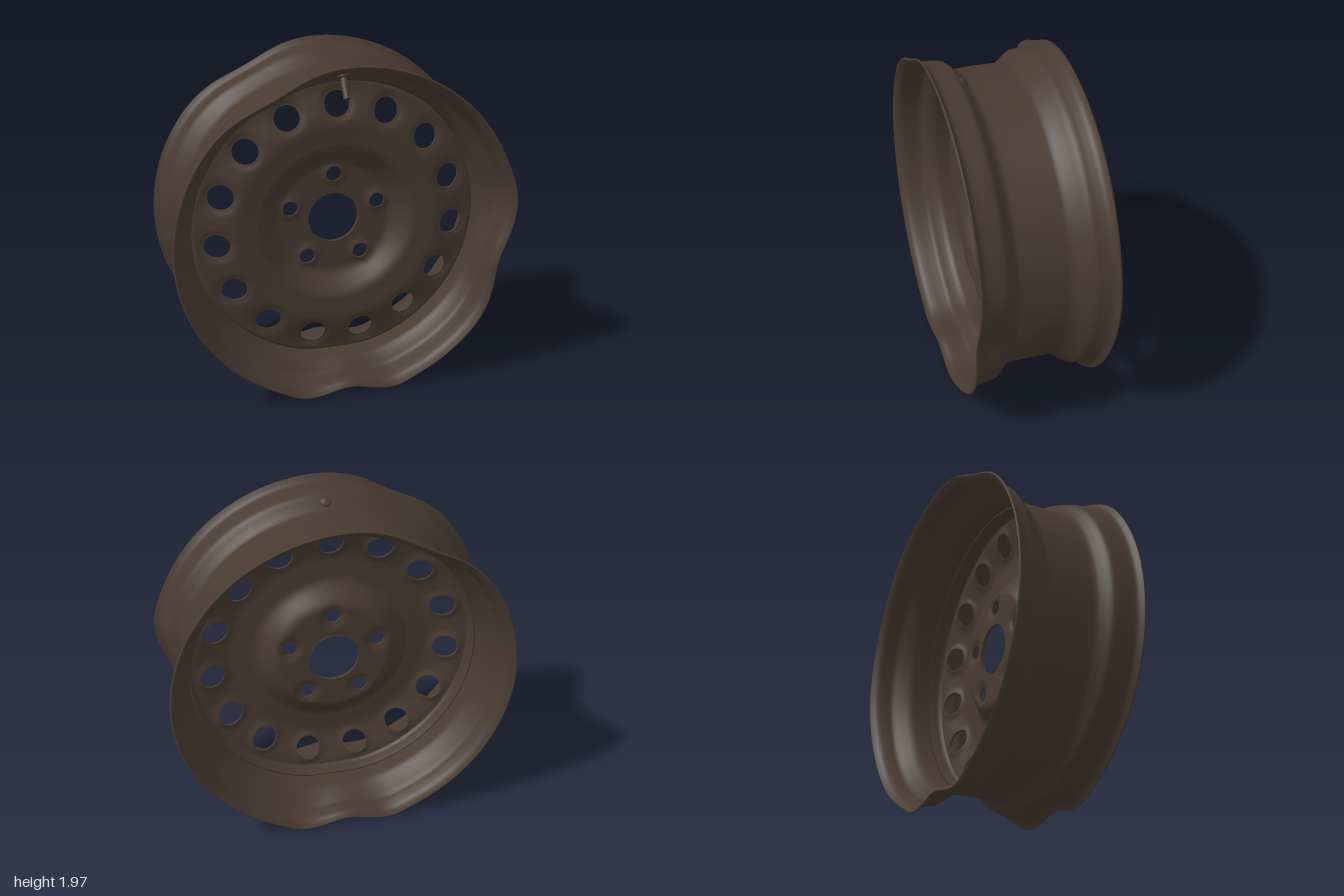
import * as THREE from 'three';
import { mergeGeometries, mergeVertices } from 'three/addons/utils/BufferGeometryUtils.js';

const TAU = Math.PI * 2;
const AXLE_Y = 0.965;
const SHEET = 0.014;
const VENT = { count: 15, ring: 0.71, radius: 0.073, reach: 0.12, steps: 32, bend: -0.012 };
const LUG = { count: 5, ring: 0.275, radius: 0.045, reach: 0.1, steps: 96, bend: 0.014 };

const smooth = THREE.MathUtils.smoothstep;
const bell = (a, centre, width) => {
  const d = Math.atan2(Math.sin(a - centre), Math.cos(a - centre)) / width;
  return Math.exp(-d * d);
};

// Impact damage: pushes the lips in at the bottom, the upper left and the front right
function dent(geometry) {
  const p = geometry.attributes.position;
  for (let i = 0; i < p.count; i++) {
    const x = p.getX(i), y = p.getY(i), z = p.getZ(i);
    const r = Math.hypot(x, y);
    if (r < 0.72) continue;
    const a = Math.atan2(y, x);
    const lip = Math.min(1, (z / 0.37) ** 2);
    const front = smooth(z, 0, 0.37);
    const down = -Math.PI / 2;
    let push = -0.068 * bell(a, down, 0.17) * (0.25 + 0.75 * lip);
    push += 0.012 * (bell(a, down - 0.29, 0.1) + bell(a, down + 0.29, 0.1)) * lip;
    push -= 0.045 * bell(a, 2.04, 0.24) * (0.1 + 0.9 * lip);
    push += (-0.07 * bell(a, -0.25, 0.24) + 0.012 * bell(a, 0.18, 0.15)) * front;
    const s = 1 + (push * smooth(r, 0.72, 0.88)) / r;
    p.setXYZ(i, x * s, y * s, z + Math.sign(z) * 0.01 * lip * bell(a, -0.05, 0.3));
  }
}

// Merges seams, applies the damage and recomputes smooth normals
function finish(geometry) {
  geometry.deleteAttribute('uv');
  geometry.deleteAttribute('normal');
  const g = mergeVertices(geometry, 1e-5);
  dent(g);
  g.computeVertexNormals();
  return g;
}

const spin = (points, segments) => new THREE.LatheGeometry(points, segments).rotateX(Math.PI / 2);

// Barrel: a thin closed section with flared lips, bead seats and a drop well
function barrelGeometry() {
  const outer = new THREE.SplineCurve([
    [1.0, -0.372], [0.968, -0.345], [0.953, -0.3], [0.943, -0.255], [0.905, -0.205],
    [0.874, -0.155], [0.868, -0.1], [0.868, 0.1], [0.874, 0.145], [0.9, 0.178],
    [0.938, 0.215], [0.95, 0.26], [0.957, 0.31], [0.968, 0.345], [1.0, 0.372],
  ].map(([r, z]) => new THREE.Vector2(r, z))).getPoints(70);
  const inner = outer.map((q, i) => {
    const t = outer[Math.min(i + 1, 70)].clone().sub(outer[Math.max(i - 1, 0)]).normalize();
    return new THREE.Vector2(q.x - t.y * SHEET * 0.8, q.y + t.x * SHEET * 0.8);
  });
  return finish(spin([...outer, ...inner.reverse(), outer[0].clone()], 180));
}

// Height of the pressed disc: a bowl around the hub, then a shallow crown
const STEPS = [[0.14, 0], [0.32, 0], [0.48, 0.105], [0.6, 0.112], [0.84, 0.05]];
function discHeight(x, y) {
  const r = Math.hypot(x, y);
  let z = 0;
  for (let i = 1; i < STEPS.length; i++) {
    z += (STEPS[i][1] - STEPS[i - 1][1]) * smooth(r, STEPS[i - 1][0], STEPS[i][0]);
  }
  for (const h of [VENT, LUG]) {
    const slice = TAU / h.count;
    const off = Math.atan2(y, x) - Math.PI / 2;
    const a = off - Math.round(off / slice) * slice;
    const d = Math.hypot(r * Math.cos(a) - h.ring, r * Math.sin(a)) - h.radius;
    z += h.bend * Math.exp(-((Math.max(d, 0) / 0.025) ** 2));
  }
  return z;
}

// Indexed grid of points
function grid(nu, nv, point) {
  const pos = [], index = [];
  for (let i = 0; i <= nu; i++) {
    for (let j = 0; j <= nv; j++) {
      pos.push(...point(i / nu, j / nv));
      if (i === nu || j === nv) continue;
      const a = i * (nv + 1) + j, b = a + nv + 1;
      index.push(a, b, b + 1, a, b + 1, a + 1);
    }
  }
  const g = new THREE.BufferGeometry();
  g.setAttribute('position', new THREE.Float32BufferAttribute(pos, 3));
  g.setIndex(index);
  return g;
}

const polar = (r, a, drop = 0) => {
  const x = r * Math.cos(a), y = r * Math.sin(a);
  return [x, y, discHeight(x, y) - drop];
};

// Plain ring of the disc
const ring = (r0, r1, rows, drop) =>
  grid(rows, 120, (u, v) => polar(r0 + (r1 - r0) * u, Math.PI / 2 + TAU * v, drop));

// Point on the edge of a hole, in polar coordinates about the axle
function holeEdge(h, f) {
  const x = h.ring + h.radius * Math.cos(f), y = h.radius * Math.sin(f);
  return [Math.hypot(x, y), Math.atan2(y, x)];
}

// Ring sector that closes in on a round hole
function holeSector(h, k, drop) {
  const mid = Math.PI / 2 + (k * TAU) / h.count;
  return grid(9, h.steps, (u, v) => {
    const f = v * TAU;
    const side = Math.round(v * 4 - 1e-9) % 4;
    const t = (v * 4 - Math.round(v * 4 - 1e-9)) * 2;
    const [sx, sy] = [[1, t], [-t, 1], [-1, -t], [t, -1]][side];
    const [r, a] = holeEdge(h, f);
    const w = u * u * 0.5 + u * 0.5;
    return polar(
      r + (h.ring + sx * h.reach - r) * w,
      mid + a + ((sy * Math.PI) / h.count - a) * w, drop);
  });
}

// Cut edge of a hole through the sheet
function holeWall(h, k) {
  const mid = Math.PI / 2 + (k * TAU) / h.count;
  return grid(1, 32, (u, v) => {
    const [r, a] = holeEdge(h, v * TAU);
    return polar(r, mid + a, u * SHEET);
  });
}

function discGeometries() {
  const faces = [0, SHEET].map((drop) => {
    const parts = [
      ring(0.15, 0.175, 3, drop),
      ring(LUG.ring + LUG.reach, VENT.ring - VENT.reach, 16, drop),
    ];
    for (const h of [LUG, VENT]) {
      for (let k = 0; k < h.count; k++) parts.push(holeSector(h, k, drop));
    }
    return finish(mergeGeometries(parts));
  });
  const walls = [grid(1, 120, (u, v) => polar(0.15, v * TAU, u * SHEET * 1.5))];
  for (const h of [LUG, VENT]) {
    for (let k = 0; k < h.count; k++) walls.push(holeWall(h, k));
  }
  return [...faces, finish(mergeGeometries(walls))];
}

export function createModel() {
  const steel = new THREE.MeshStandardMaterial({ color: 0x483a31, side: THREE.DoubleSide });
  steel.name = 'dark brown steel';
  const model = new THREE.Group();
  model.name = 'dentedWheel';
  const wheel = new THREE.Group();
  wheel.name = 'wheel';
  wheel.position.y = AXLE_Y;
  model.add(wheel);
  const add = (name, geometry, parent = wheel) => {
    const mesh = new THREE.Mesh(geometry, steel);
    mesh.name = name;
    parent.add(mesh);
    return mesh;
  };

  add('barrel', barrelGeometry());

  // Centre disc with hub, lug and vent holes
  const names = ['discFront', 'discBack', 'holeEdges'];
  discGeometries().forEach((g, i) => add(names[i], g));

  // Flange that joins the disc to the drop well
  const flange = [[0.828, 0.05], [0.842, 0.046], [0.851, 0.034], [0.855, 0.015], [0.856, -0.045],
    [0.846, -0.045], [0.845, 0.01], [0.838, 0.03], [0.828, 0.036]];
  add('discFlange', finish(spin(flange.map(([r, z]) => new THREE.Vector2(r, z)), 120)));

  // Valve through the front slope of the drop well, leaning to the front inside
  const valve = new THREE.Group();
  valve.name = 'valve';
  valve.position.set(0, 0.905, 0.19);
  valve.rotation.x = -0.62;
  wheel.add(valve);
  add('valveStem', new THREE.CylinderGeometry(0.02, 0.02, 0.15, 20).translate(0, -0.065, 0), valve);
  const head = [[0, -0.02], [0.033, -0.02], [0.035, -0.005], [0.033, 0.008], [0.022, 0.016], [0, 0.018]];
  add('valveHead', new THREE.LatheGeometry(head.map(([r, y]) => new THREE.Vector2(r, y)), 24), valve);

  return model;
}
